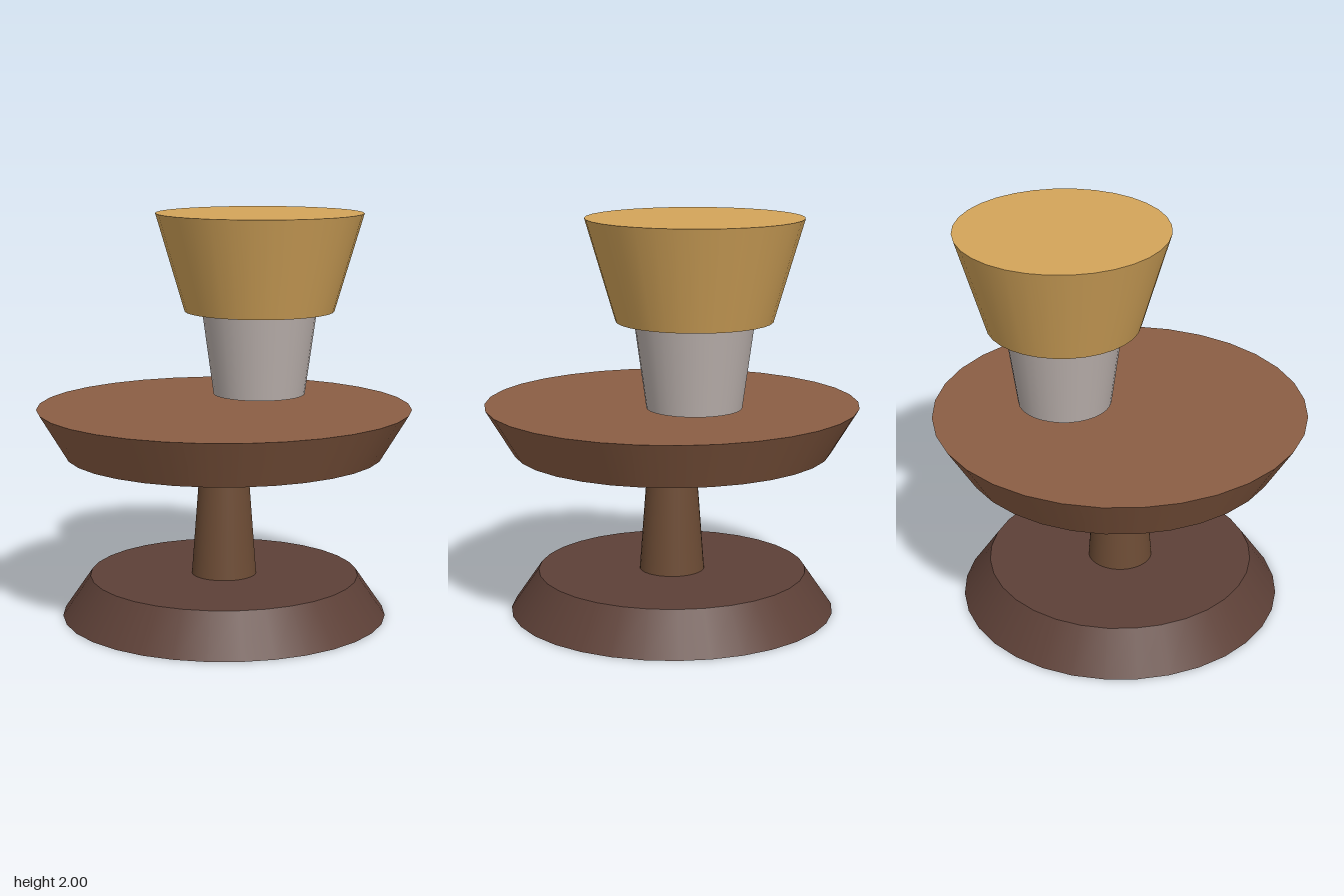
import * as THREE from 'three';

export function createModel() {
  const model = new THREE.Group();

  // Closed tapered round solid standing between two heights
  function taper(name, color, rBottom, rTop, yBottom, yTop, x = 0, z = 0) {
    const geometry = new THREE.CylinderGeometry(rTop, rBottom, yTop - yBottom, 32);
    const mesh = new THREE.Mesh(geometry, new THREE.MeshStandardMaterial({ color }));
    mesh.name = name;
    mesh.position.set(x, (yBottom + yTop) / 2, z);
    model.add(mesh);
  }

  // Pedestal table
  taper('base', 0x5d4037, 0.814, 0.674, 0, 0.203);
  taper('stem', 0x6d4c35, 0.163, 0.116, 0.203, 0.822);
  taper('tableTop', 0x8b5e44, 0.79, 0.93, 0.822, 1.054);

  // Off-centre cup hovering just above the table, with its wide cap
  const x = 0.232, z = -0.148;
  taper('cup', 0xbcb2ae, 0.232, 0.29, 1.085, 1.508, x, z);
  taper('cap', 0xd4a55a, 0.378, 0.523, 1.508, 2, x, z);

  return model;
}
